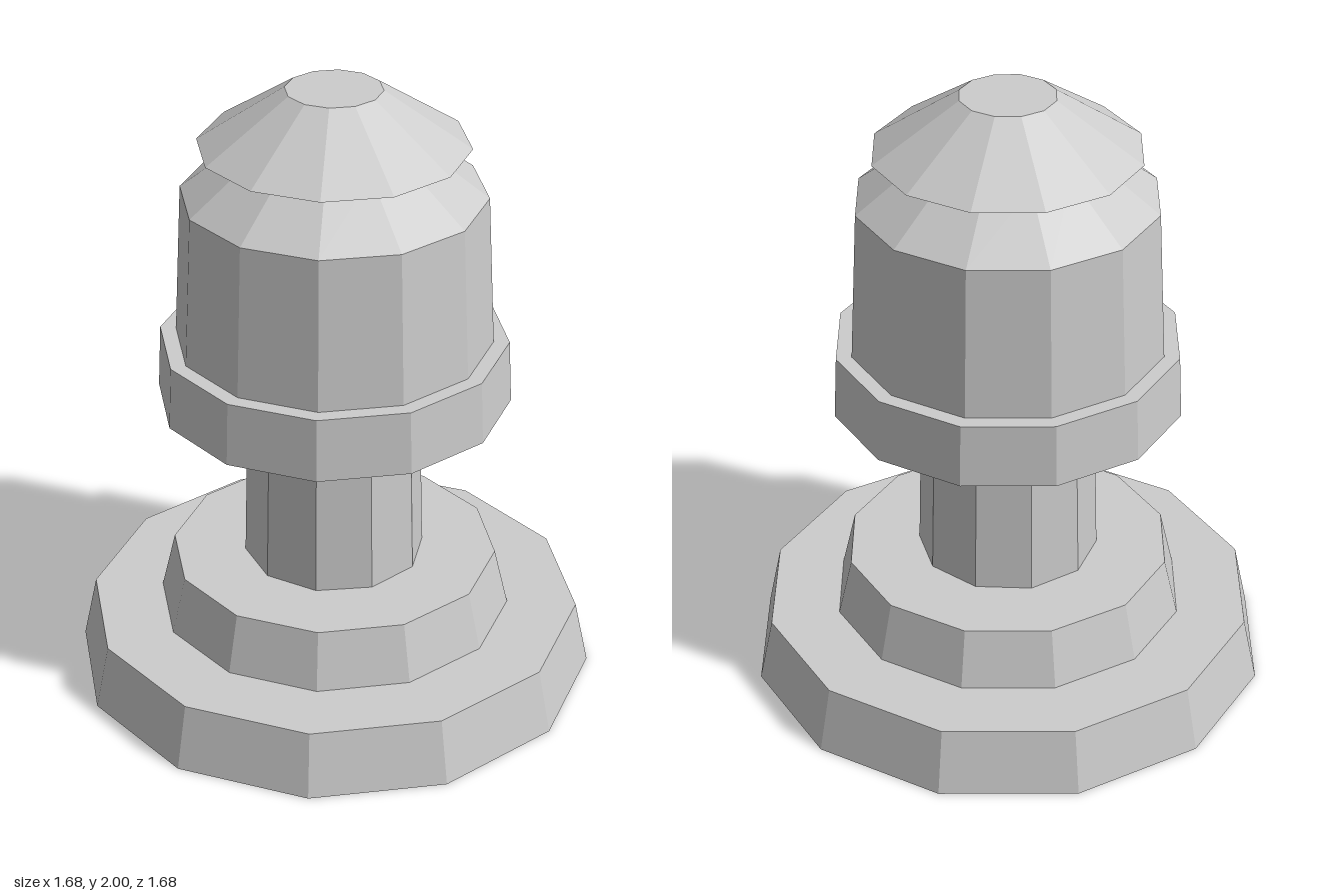
import * as THREE from 'three';

export function createModel() {
  const model = new THREE.Group();
  const grey = new THREE.MeshStandardMaterial({ color: 0xcccccc, flatShading: true });
  grey.name = 'light grey';

  // One faceted tier: radii at the bottom and top, and the heights it spans
  function addTier(name, bottomRadius, topRadius, bottomY, topY, sides = 12) {
    const geometry = new THREE.CylinderGeometry(topRadius, bottomRadius, topY - bottomY, sides);
    const mesh = new THREE.Mesh(geometry, grey);
    mesh.name = name;
    mesh.position.y = (bottomY + topY) / 2;
    model.add(mesh);
  }

  // Stepped foot
  addTier('base', 0.84, 0.795, 0, 0.21);
  addTier('baseStep', 0.57, 0.525, 0.21, 0.4);

  // Ten-sided post
  addTier('stem', 0.29, 0.275, 0.4, 0.965, 10);

  // Head with collar, sloped shoulder and overhanging cap
  addTier('collar', 0.56, 0.55, 0.965, 1.17);
  addTier('head', 0.5, 0.475, 1.17, 1.66);
  addTier('shoulder', 0.475, 0.265, 1.66, 1.82);
  addTier('cap', 0.42, 0.15, 1.82, 2);

  return model;
}
